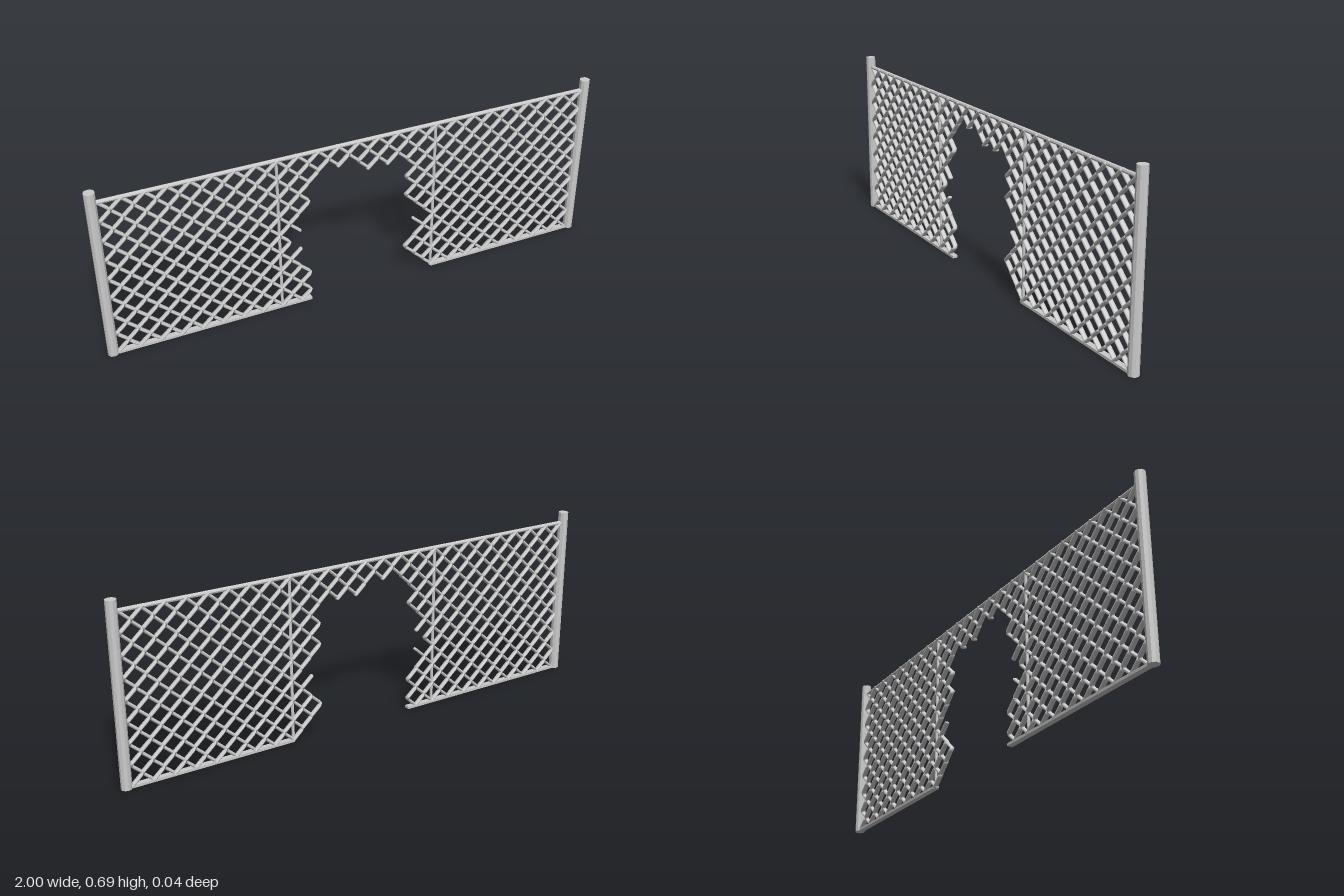
import * as THREE from 'three';
import { mergeGeometries } from 'three/addons/utils/BufferGeometryUtils.js';

const CELL = 0.04;      // half a mesh diamond
const BASE = 0.005;     // height of the lowest mesh knots
const ROWS = 16, HALF = 24;
const WIRE = 0.0062, WEAVE = 0.0015, DEPTH = 1.7, Z = 0.002;

// Edges of the torn hole in half-diamonds, one entry per row from the ground up
const HOLE_LEFT = [-5, -5, -5, -5, -6, -6, -7, -7, -6, -6, -5, -5, -5, -4];
const HOLE_RIGHT = [7, 6, 5, 5, 6, 6, 7, 6, 5, 5, 5, 5, 5, 0];

const isTorn = (i, j) => j < HOLE_LEFT.length && i >= HOLE_LEFT[j] && i + 1 <= HOLE_RIGHT[j];

// One zigzag wire, deeper than wide, running up column i from row start to row end
function zigzag(i, start, end) {
  const points = [];
  for (let j = start; j < end; j++) {
    const rising = (i + j) % 2 === 0;
    const z = rising ? WEAVE : -WEAVE;
    const at = (t) => {
      const across = rising ? t : 1 - t;
      // widen slightly so that neighbouring wires hook into each other
      const x = (i + 0.5 + (across - 0.5) * 1.12) * CELL;
      return new THREE.Vector3(x, BASE + (j + t) * CELL, z);
    };
    points.push(at(j === start ? 0 : 0.06), at(j === end - 1 ? 1 : 0.94));
  }
  const path = new THREE.CurvePath();
  for (let p = 1; p < points.length; p++) path.add(new THREE.LineCurve3(points[p - 1], points[p]));
  const parts = [new THREE.TubeGeometry(path, (end - start) * 6, WIRE, 8, false)];
  // rounded ends
  for (const tip of [points[0], points[points.length - 1]]) {
    parts.push(new THREE.SphereGeometry(WIRE, 8, 6).translate(tip.x, tip.y, tip.z));
  }
  return mergeGeometries(parts).scale(1, 1, DEPTH);
}

export function createModel() {
  const model = new THREE.Group();
  const steel = new THREE.MeshStandardMaterial({ color: 0xcccccc });
  const facetedSteel = new THREE.MeshStandardMaterial({ color: 0xcccccc, flatShading: true });

  const add = (name, geometry, x, y, z, material = steel) => {
    const mesh = new THREE.Mesh(geometry, material);
    mesh.name = name;
    mesh.position.set(x, y, z);
    model.add(mesh);
    return mesh;
  };

  // End posts and slim intermediate stakes
  for (const [side, s] of [['left', 1], ['right', -1]]) {
    add(side + 'EndPost', new THREE.CylinderGeometry(0.02, 0.02, 0.688, 10), s * 0.98, 0.344, Z, facetedSteel);
    add(side + 'Stake', new THREE.CylinderGeometry(0.006, 0.006, 0.645, 8), s * 0.32, 0.3225, Z, facetedSteel);
  }

  // Top rail
  add('topRail', new THREE.CylinderGeometry(0.008, 0.008, 1.94, 8), 0, 0.645, Z, facetedSteel).rotation.z = Math.PI / 2;

  // Bottom rail, broken across the hole
  for (const [name, a, b] of [['rightBottomRail', -0.97, -0.2], ['leftBottomRail', 0.32, 0.97]]) {
    add(name, new THREE.BoxGeometry(b - a, 0.01, 0.022), (a + b) / 2, 0.005, Z);
  }

  // Chain-link mesh: each column is split into the runs of wire left around the hole
  const wires = [];
  for (let i = -HALF; i < HALF; i++) {
    let start = 0;
    for (let j = 0; j <= ROWS; j++) {
      if (j === ROWS || isTorn(i, j)) {
        if (j > start) wires.push(zigzag(i, start, j));
        start = j + 1;
      }
    }
  }
  add('chainLinkMesh', mergeGeometries(wires), 0, 0, Z);

  return model;
}
